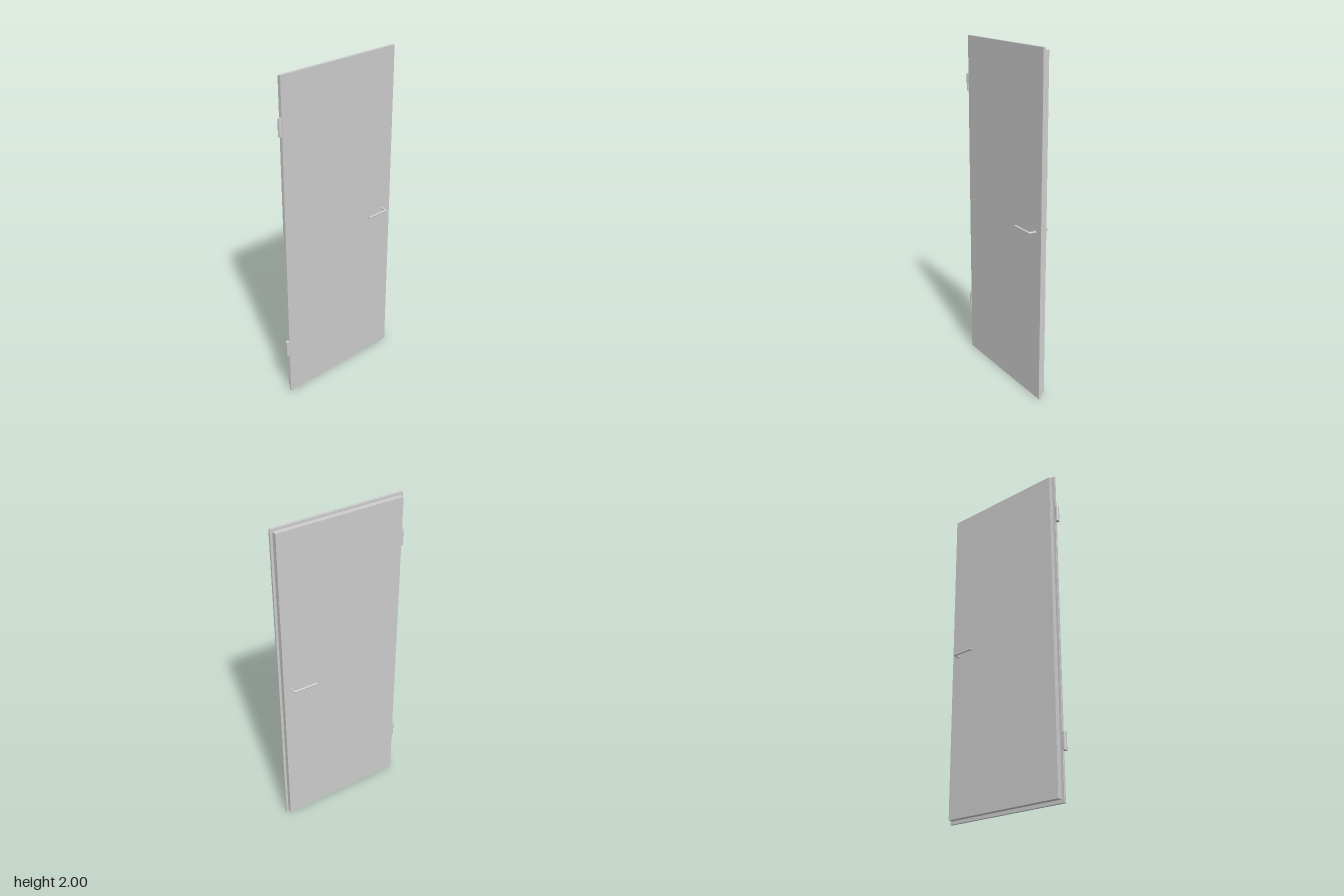
import * as THREE from 'three';
import { RoundedBoxGeometry } from 'three/addons/geometries/RoundedBoxGeometry.js';

export function createModel() {
  const door = new THREE.Group();
  door.name = 'door';
  const material = new THREE.MeshStandardMaterial({ color: 0xcccccc });

  function add(parent, name, geometry, x = 0, y = 0, z = 0) {
    const mesh = new THREE.Mesh(geometry, material);
    mesh.name = name;
    mesh.position.set(x, y, z);
    parent.add(mesh);
    return mesh;
  }

  // Rebated leaf: a wide front panel over a smaller rear core
  add(door, 'frontPanel', new RoundedBoxGeometry(0.8, 2, 0.014, 2, 0.0015), 0.009, 1, 0.0155);
  add(door, 'rearCore', new THREE.BoxGeometry(0.769, 1.964, 0.03), 0.01, 1.002, -0.006);

  // Hinge barrels on the right edge
  for (const [name, y] of [['lowerHinge', 0.323], ['upperHinge', 1.725]]) {
    add(door, name, new THREE.CylinderGeometry(0.012, 0.012, 0.1, 24), -0.399, y, 0.0165);
  }

  // Lever handle: a bent round bar with closed ends and a collar at the leaf
  function lever(name, side) {
    const group = new THREE.Group();
    group.name = name;
    group.position.y = 1.003;
    const r = 0.0065;
    const at = (x, z) => new THREE.Vector3(x, 0, z * side);
    const path = new THREE.CurvePath();
    path.add(new THREE.LineCurve3(at(0.204, 0.0595), at(0.337, 0.0595)));
    path.add(new THREE.QuadraticBezierCurve3(at(0.337, 0.0595), at(0.3465, 0.0595), at(0.348, 0.05)));
    path.add(new THREE.LineCurve3(at(0.348, 0.05), at(0.351, 0.03)));
    add(group, 'grip', new THREE.TubeGeometry(path, 60, r, 14));
    const cap = add(group, 'gripEnd', new THREE.CircleGeometry(r, 14), 0.204, 0, 0.0595 * side);
    cap.rotation.y = -Math.PI / 2;
    const collar = add(group, 'collar', new THREE.CylinderGeometry(0.009, 0.009, 0.03, 20), 0.35, 0, 0.0205 * side);
    collar.rotation.x = Math.PI / 2;
    door.add(group);
  }
  lever('frontHandle', 1);
  lever('backHandle', -1);

  return door;
}
